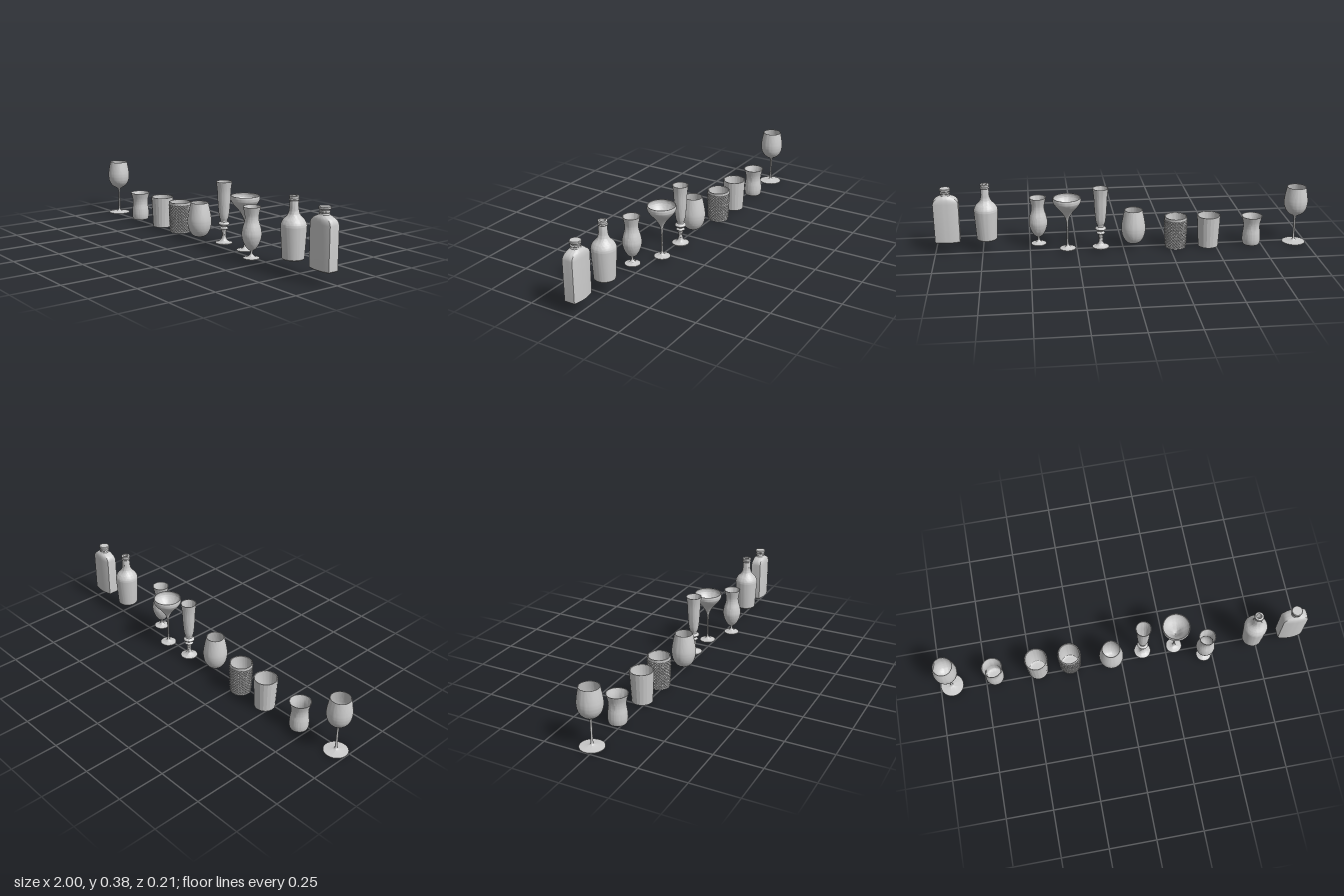
import * as THREE from 'three';
import { toCreasedNormals } from 'three/addons/utils/BufferGeometryUtils.js';

const material = new THREE.MeshStandardMaterial({ color: 0xcccccc, side: THREE.DoubleSide });
const facetMaterial = new THREE.MeshStandardMaterial({ color: 0xcccccc, side: THREE.DoubleSide, flatShading: true });

// Joins several [radius, height] runs; runs of three or more points become smooth curves.
function profile(runs, steps = 5) {
  const out = [];
  for (const run of runs) {
    const pts = run.map(([r, y]) => new THREE.Vector2(r, y));
    const list = pts.length > 2 ? new THREE.SplineCurve(pts).getPoints((pts.length - 1) * steps) : pts;
    for (const p of list) {
      p.x = Math.max(p.x, 0);
      if (!out.length || out[out.length - 1].distanceTo(p) > 1e-5) out.push(p);
    }
  }
  return out;
}

function turned(name, x, z, runs, segments = 56) {
  const geometry = toCreasedNormals(new THREE.LatheGeometry(profile(runs), segments), 0.6);
  const mesh = new THREE.Mesh(geometry, material);
  mesh.name = name;
  mesh.position.set(x, 0, z);
  return mesh;
}

// Straight tumbler: separate outer wall, plus round rim, inside and base.
function tumbler(name, x, z, outer, bottomR, topR, y0, y1) {
  const group = new THREE.Group();
  group.name = name;
  group.position.set(x, 0, z);
  outer.name = name + 'Wall';
  group.add(outer);
  group.add(turned(name + 'Inside', 0, 0, [
    [[topR - 0.001, y1 - 0.004], [topR - 0.003, y1], [topR - 0.006, y1]],
    [[topR - 0.006, y1], [bottomR - 0.005, y0 + 0.022]],
    [[bottomR - 0.005, y0 + 0.022], [bottomR - 0.012, y0 + 0.016], [0, y0 + 0.015]],
  ]));
  group.add(turned(name + 'Base', 0, 0, [[[0, y0], [bottomR - 0.001, y0]]]));
  return group;
}

// Panelled wall with flat vertical facets
function panelledWall() {
  return new THREE.Mesh(new THREE.CylinderGeometry(0.063, 0.054, 0.172, 20, 1, true).translate(0, 0.088, 0), facetMaterial);
}

// Wall covered in small raised diamonds between a plain rim and a plain base
function diamondWall() {
  const y0 = 0.002, y1 = 0.174, around = 22, rows = 9;
  const g = new THREE.CylinderGeometry(0.061, 0.055, y1 - y0, around * 8, 72, true).translate(0, (y0 + y1) / 2, 0);
  const p = g.attributes.position;
  const ridge = (t) => Math.abs((t - Math.floor(t)) * 2 - 1);
  for (let i = 0; i < p.count; i++) {
    const x = p.getX(i), y = p.getY(i), z = p.getZ(i);
    if (y < 0.01 || y > 0.158) continue;
    const u = (Math.atan2(x, z) / (2 * Math.PI)) * around;
    const v = ((y - 0.01) / 0.148) * rows;
    const groove = Math.max(ridge(u + v), ridge(u - v));
    const s = 1 + (0.0035 * (1 - groove) * 2 - 0.0025) / Math.hypot(x, z);
    p.setXYZ(i, x * s, y, z * s);
  }
  return new THREE.Mesh(toCreasedNormals(g, 0.3), material);
}

// Flat-sided bottle: each ring is [height, half width, half depth, roundness]
function flask(x, z) {
  const rings = [
    [0.063, 0, 0, 0], [0.063, 0.06, 0.033, 0], [0.068, 0.065, 0.039, 0], [0.28, 0.066, 0.039, 0],
    [0.292, 0.064, 0.038, 0.1], [0.303, 0.058, 0.036, 0.3], [0.311, 0.049, 0.033, 0.55],
    [0.317, 0.037, 0.028, 0.85], [0.322, 0.026, 0.024, 1], [0.33, 0.023, 0.023, 1],
    [0.333, 0.026, 0.026, 1], [0.338, 0.026, 0.026, 1], [0.341, 0.023, 0.023, 1], [0.346, 0.024, 0.024, 1],
    [0.349, 0.029, 0.029, 1], [0.357, 0.029, 0.029, 1], [0.36, 0.026, 0.026, 1], [0.36, 0, 0, 1],
  ];
  const segments = 48;
  const g = new THREE.LatheGeometry(rings.map(([y]) => new THREE.Vector2(1, y)), segments);
  const p = g.attributes.position;
  for (let i = 0; i < p.count; i++) {
    const [y, w, d, round] = rings[i % rings.length];
    const cx = p.getX(i), cz = p.getZ(i);
    const k = Math.max(Math.abs(cx), Math.abs(cz));
    const sx = cx / k, sz = (cz / k) * (1 - 0.28 * sx * sx);
    p.setXYZ(i, w * THREE.MathUtils.lerp(sx, cx, round), y, d * THREE.MathUtils.lerp(sz, cz, round));
  }
  const mesh = new THREE.Mesh(toCreasedNormals(g, 0.6), material);
  mesh.name = 'flaskBottle';
  mesh.position.set(x, 0, z);
  return mesh;
}

export function createModel() {
  const model = new THREE.Group();
  model.name = 'glassware';

  model.add(turned('wineGlass', -0.937, -0.027, [
    [[0, 0], [0.062, 0]], [[0.062, 0], [0.062, 0.003]],
    [[0.062, 0.003], [0.03, 0.007], [0.01, 0.013], [0.006, 0.03], [0.0055, 0.09], [0.006, 0.14], [0.014, 0.153],
      [0.038, 0.168], [0.056, 0.193], [0.063, 0.225], [0.061, 0.26], [0.051, 0.316]],
    [[0.051, 0.316], [0.049, 0.316]],
    [[0.049, 0.316], [0.059, 0.26], [0.061, 0.225], [0.053, 0.193], [0.035, 0.17], [0, 0.158]],
  ]));

  model.add(turned('waistedTumbler', -0.698, -0.03, [
    [[0, 0.002], [0.044, 0.002]],
    [[0.044, 0.002], [0.048, 0.012], [0.05, 0.035], [0.048, 0.065], [0.044, 0.095], [0.046, 0.125], [0.056, 0.161]],
    [[0.056, 0.161], [0.053, 0.161]],
    [[0.053, 0.161], [0.043, 0.125], [0.041, 0.095], [0.045, 0.065], [0.046, 0.035], [0.04, 0.02], [0, 0.017]],
  ]));

  model.add(tumbler('panelledTumbler', -0.46, -0.029, panelledWall(), 0.054, 0.063, 0.002, 0.174));
  model.add(tumbler('diamondTumbler', -0.281, -0.028, diamondWall(), 0.055, 0.061, 0.002, 0.174));

  model.add(turned('stemlessGlass', -0.056, 0.0, [
    [[0, 0.026], [0.03, 0.026]],
    [[0.03, 0.026], [0.043, 0.036], [0.058, 0.063], [0.065, 0.1], [0.062, 0.14], [0.048, 0.21]],
    [[0.048, 0.21], [0.045, 0.21]],
    [[0.045, 0.21], [0.059, 0.14], [0.062, 0.1], [0.054, 0.063], [0.035, 0.04], [0, 0.036]],
  ]));

  model.add(turned('fluteGlass', 0.123, -0.029, [
    [[0, 0.017], [0.045, 0.017]], [[0.045, 0.017], [0.045, 0.021]],
    [[0.045, 0.021], [0.03, 0.026], [0.016, 0.038], [0.011, 0.06], [0.013, 0.085], [0.018, 0.092]],
    [[0.018, 0.092], [0.023, 0.097], [0.018, 0.103]],
    [[0.018, 0.103], [0.014, 0.107], [0.018, 0.112]],
    [[0.018, 0.112], [0.029, 0.119], [0.028, 0.127], [0.018, 0.133]],
    [[0.018, 0.133], [0.018, 0.14], [0.023, 0.153], [0.028, 0.18], [0.033, 0.24], [0.036, 0.3], [0.042, 0.348]],
    [[0.042, 0.348], [0.039, 0.348]],
    [[0.039, 0.348], [0.033, 0.3], [0.03, 0.24], [0.024, 0.18], [0.015, 0.155], [0, 0.15]],
  ]));

  model.add(turned('cocktailGlass', 0.3, -0.028, [
    [[0, 0.015], [0.043, 0.015]], [[0.043, 0.015], [0.043, 0.018]],
    [[0.043, 0.018], [0.02, 0.023], [0.008, 0.033], [0.005, 0.06], [0.005, 0.15], [0.008, 0.178], [0.018, 0.202],
      [0.036, 0.229], [0.06, 0.256], [0.073, 0.277], [0.075, 0.29], [0.073, 0.302]],
    [[0.073, 0.302], [0.07, 0.302]],
    [[0.07, 0.302], [0.072, 0.29], [0.069, 0.278], [0.057, 0.259], [0.033, 0.233], [0.015, 0.208], [0, 0.192]],
  ]));

  model.add(turned('hurricaneGlass', 0.452, 0.052, [
    [[0, 0.018], [0.041, 0.018]], [[0.041, 0.018], [0.041, 0.021]],
    [[0.041, 0.021], [0.022, 0.026], [0.009, 0.036], [0.006, 0.048], [0.009, 0.058], [0.024, 0.07], [0.041, 0.1],
      [0.05, 0.137], [0.046, 0.172], [0.037, 0.205], [0.035, 0.235], [0.045, 0.281]],
    [[0.045, 0.281], [0.042, 0.281]],
    [[0.042, 0.281], [0.032, 0.235], [0.034, 0.205], [0.043, 0.172], [0.047, 0.137], [0.038, 0.102], [0.02, 0.077], [0, 0.07]],
  ]));

  model.add(turned('roundBottle', 0.725, 0.022, [
    [[0, 0.07], [0.05, 0.07]],
    [[0.05, 0.07], [0.054, 0.075]], [[0.054, 0.075], [0.063, 0.225]],
    [[0.063, 0.225], [0.062, 0.24], [0.052, 0.26], [0.036, 0.277], [0.026, 0.295], [0.0225, 0.32]],
    [[0.0225, 0.32], [0.021, 0.352]],
    [[0.021, 0.352], [0.025, 0.356], [0.022, 0.361]],
    [[0.022, 0.361], [0.024, 0.373], [0.022, 0.376]],
    [[0.022, 0.376], [0.014, 0.376]], [[0.014, 0.376], [0.014, 0.32]], [[0.014, 0.32], [0, 0.32]],
  ]));

  model.add(flask(0.931, 0.023));
  return model;
}
